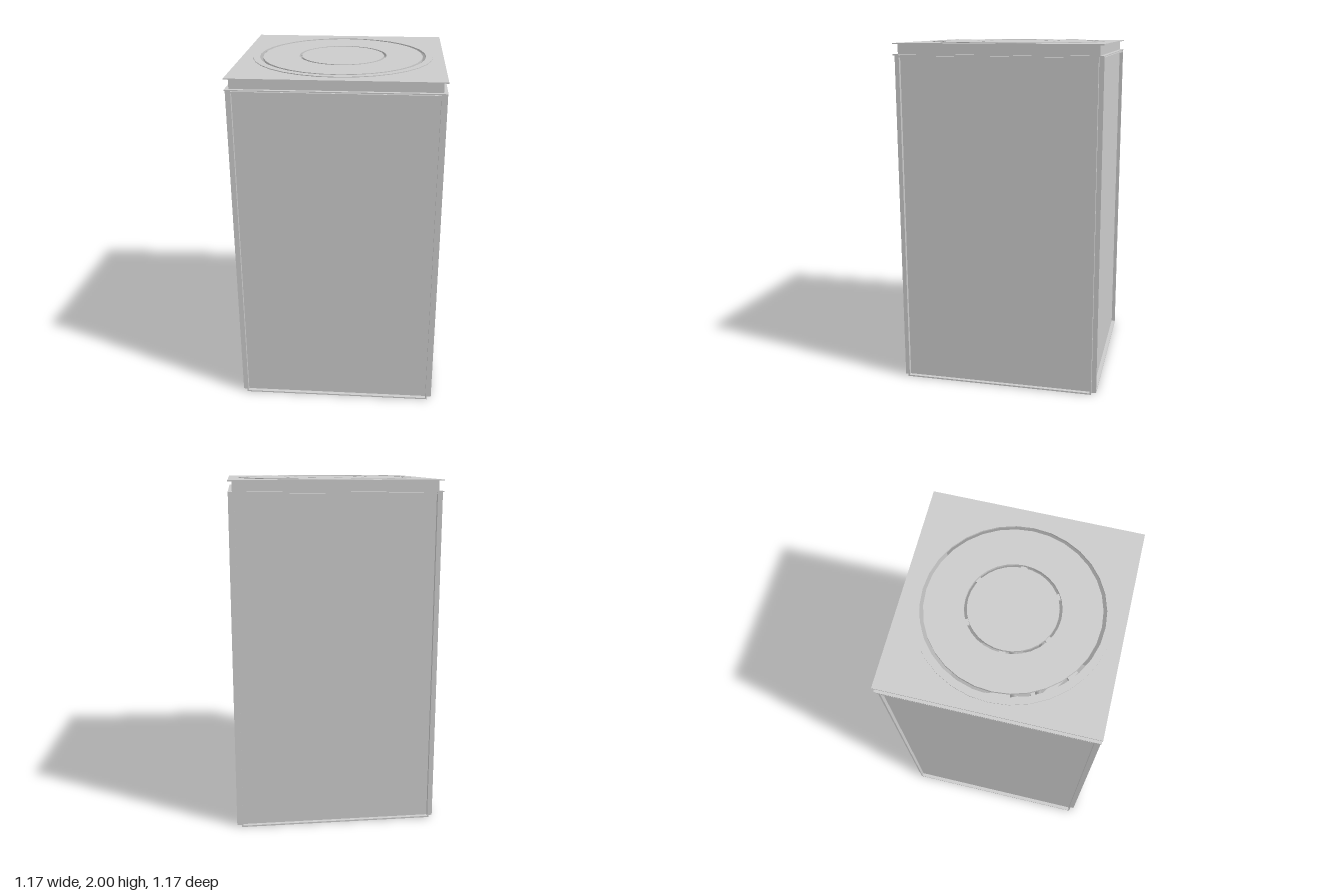
import * as THREE from 'three';

const mat = new THREE.MeshStandardMaterial({ color: 0xcccccc, flatShading: true, side: THREE.DoubleSide });

export function createModel() {
  const model = new THREE.Group();

  const add = (name, geo, x = 0, y = 0, z = 0, parent = model) => {
    const mesh = new THREE.Mesh(geo, mat);
    mesh.name = name;
    mesh.position.set(x, y, z);
    parent.add(mesh);
    return mesh;
  };
  const box = (w, h, d) => new THREE.BoxGeometry(w, h, d);

  // Flat shape lying in the xz plane, rising from y = 0
  const slab = (shape, depth) =>
    new THREE.ExtrudeGeometry(shape, { depth, bevelEnabled: false, curveSegments: 16 }).rotateX(-Math.PI / 2);
  const circle = (Type, r) => new Type().absarc(0, 0, r, 0, Math.PI * 2, false);
  const square = (Type, s) =>
    new Type([[-s, -s], [s, -s], [s, s], [-s, s]].map(([x, y]) => new THREE.Vector2(x, y)));
  const ring = (outer, inner, depth) => {
    const shape = circle(THREE.Shape, outer);
    shape.holes.push(circle(THREE.Path, inner));
    return slab(shape, depth);
  };

  // Four identical sides: thin panel framed by outward flanges, notched at the corners
  const wall = 0.565, rim = 0.587, t = 0.008;
  for (let i = 0; i < 4; i++) {
    const side = new THREE.Group();
    side.name = 'side' + (i + 1);
    side.rotation.y = (i * Math.PI) / 2;
    model.add(side);
    add('panel', box(1.12, 1.935, t), 0, 0.9675, wall - t / 2, side);
    for (const s of [-1, 1]) {
      add('uprightFlange', box(t, 1.93, rim - wall + t), s * 0.556, 0.965, (rim + wall - t) / 2, side);
    }
    add('bottomFlange', box(1.112, t, rim - wall + t), 0, t / 2, (rim + wall - t) / 2, side);
    add('panelTopFlange', box(1.112, t, rim - wall + t), 0, 1.922, (rim + wall - t) / 2, side);
    add('lidSkirt', box(wall * 2, 0.06, t), 0, 1.962, wall - t / 2, side);
  }

  // Flange below the lid
  const flange = square(THREE.Shape, rim);
  flange.holes.push(square(THREE.Path, wall - t));
  add('lidFlange', slab(flange, 0.006), 0, 1.929, 0);

  // Lid with a round opening and a very low lip around it
  const lid = square(THREE.Shape, rim);
  lid.holes.push(circle(THREE.Path, 0.485));
  add('lid', slab(lid, 0.006), 0, 1.99, 0);
  add('openingLip', ring(0.525, 0.485, 0.004), 0, 1.996, 0);

  // Turntable: outer ring, inner disc, and six bridges joining them
  add('turntableRing', ring(0.466, 0.255, 0.015), 0, 1.984, 0);
  add('turntableDisc', slab(circle(THREE.Shape, 0.24), 0.015), 0, 1.984, 0);
  for (let i = 0; i < 6; i++) {
    const pivot = new THREE.Group();
    pivot.name = 'bridge' + (i + 1);
    pivot.rotation.y = (i * Math.PI) / 3;
    model.add(pivot);
    add('bridgeBar', box(0.06, 0.012, 0.035), 0.247, 1.978, 0, pivot);
  }

  // Central shaft
  add('shaft', new THREE.CylinderGeometry(0.024, 0.024, 1.985, 16), 0, 0.9925, 0);

  // Spoked gear inside the open-bottomed casing
  const gear = new THREE.Group();
  gear.name = 'gear';
  gear.position.set(0, 0.48, 0.17);
  model.add(gear);
  const teeth = 36, outline = [];
  for (let i = 0; i < teeth; i++) {
    for (const [f, r] of [[0, 0.335], [0.12, 0.375], [0.45, 0.375], [0.57, 0.335]]) {
      const a = ((i + f) / teeth) * Math.PI * 2;
      outline.push(new THREE.Vector2(r * Math.cos(a), r * Math.sin(a)));
    }
  }
  const rimShape = new THREE.Shape(outline);
  rimShape.holes.push(circle(THREE.Path, 0.29));
  add('gearRim', slab(rimShape, 0.035), 0, 0, 0, gear);
  add('gearHub', new THREE.CylinderGeometry(0.06, 0.06, 0.06, 20), 0, 0.018, 0, gear);
  for (let i = 0; i < 6; i++) {
    const a = (i * Math.PI) / 3 + Math.PI / 6;
    add('gearSpoke', box(0.25, 0.025, 0.045), 0.175 * Math.cos(a), 0.018, -0.175 * Math.sin(a), gear).rotation.y = a;
  }
  add('gearAxle', new THREE.CylinderGeometry(0.02, 0.02, 1.5, 12), 0, 0.755, 0, gear);

  return model;
}
